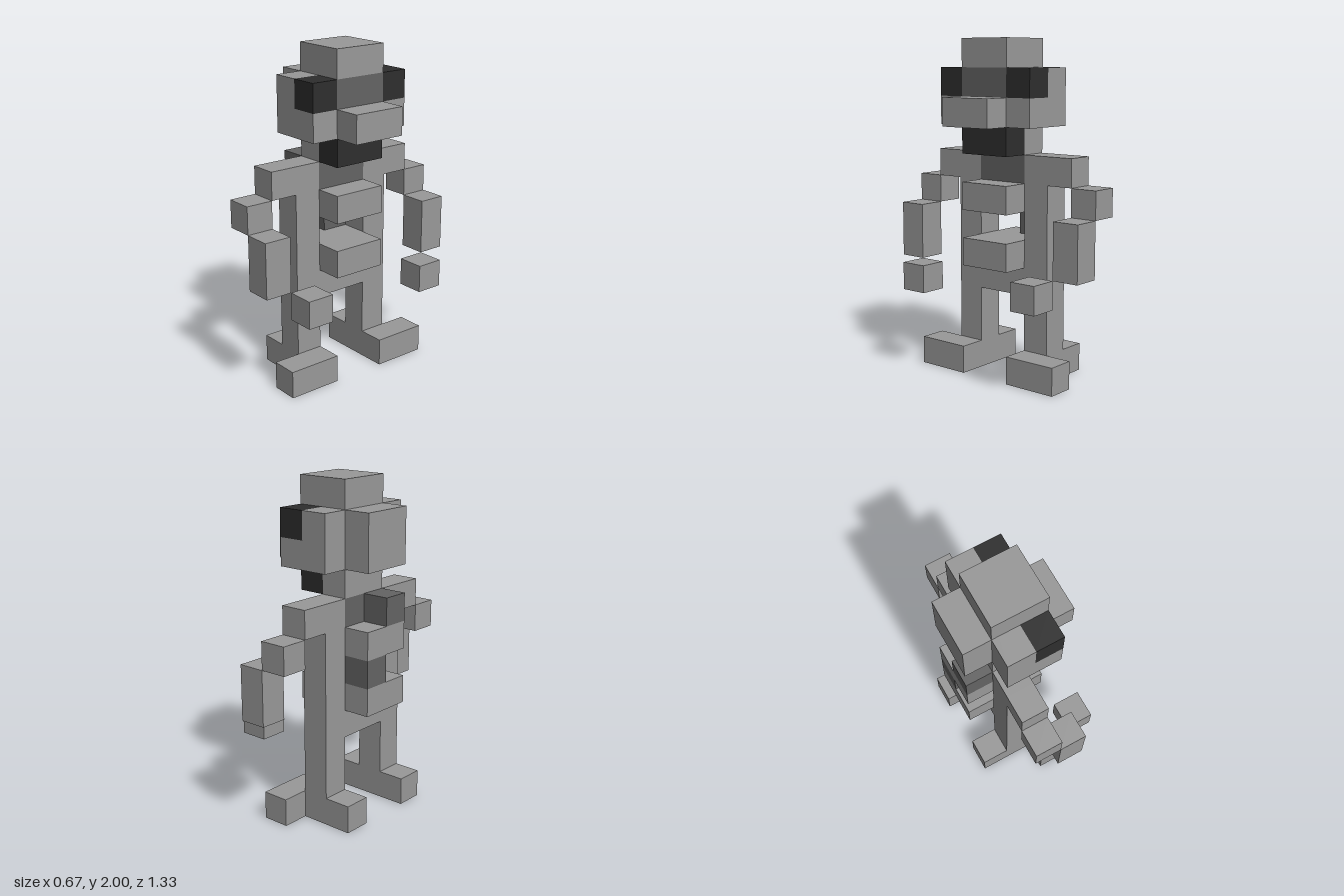
import * as THREE from 'three';

// One block is a sixth of a unit
const U = 1 / 6;

export function createModel() {
  const model = new THREE.Group();
  model.name = 'blockFigure';

  const light = new THREE.MeshStandardMaterial({ name: 'light grey', color: 0x999999 });
  const medium = new THREE.MeshStandardMaterial({ name: 'medium grey', color: 0x646464 });
  const dark = new THREE.MeshStandardMaterial({ name: 'near black', color: 0x2e2e2e });

  // Box given by its extents in blocks along x, y and z
  function block(name, material, [x0, x1], [y0, y1], [z0, z1]) {
    const geometry = new THREE.BoxGeometry((x1 - x0) * U, (y1 - y0) * U, (z1 - z0) * U);
    const mesh = new THREE.Mesh(geometry, material);
    mesh.name = name;
    mesh.position.set((x0 + x1) * U / 2, (y0 + y1) * U / 2, (z0 + z1) * U / 2);
    model.add(mesh);
  }

  // The same box on both sides of the body
  function pair(name, material, x, y, [z0, z1]) {
    block(name + 'A', material, x, y, [z0, z1]);
    block(name + 'B', material, x, y, [-z1, -z0]);
  }

  // Head
  block('crown', light, [-1, 1], [11, 12], [-1, 1]);
  block('skull', light, [-1, 0], [9, 11], [-2, 2]);
  block('backOfHead', light, [-2, -1], [9, 11], [-1, 1]);
  block('face', light, [0, 1], [9, 10], [-2, 2]);
  block('snout', light, [1, 2], [9, 10], [-1, 1]);
  block('brow', medium, [0, 1], [10, 11], [-1, 1]);
  pair('eye', dark, [0, 1], [10, 11], [1, 2]);
  block('neck', light, [-1, 0], [8, 9], [-1, 1]);
  block('mouth', dark, [0, 1], [8, 9], [-1, 1]);

  // Spine
  block('upperSpine', medium, [-1, 0], [7, 8], [-1, 1]);
  block('upperVertebra', medium, [-2, -1], [7, 8], [0, 1]);
  block('lowerVertebra', medium, [-2, -1], [5, 6], [-1, 0]);

  // Ribs run from back to front between the body sides
  for (const y of [4, 6]) block('rib' + y, light, [-2, 1], [y, y + 1], [-1, 1]);
  block('pelvis', light, [-1, 0], [3, 4], [-1, 1]);

  // Body sides and legs
  pair('sideAndLeg', light, [-1, 0], [0, 8], [1, 2]);
  pair('heel', light, [-2, -1], [0, 1], [1, 2]);
  pair('toes', light, [0, 1], [0, 1], [1, 3]);

  // Arms step outward and forward
  pair('shoulder', light, [-1, 0], [7, 8], [2, 3]);
  pair('elbow', light, [-1, 0], [6, 7], [3, 4]);
  pair('forearm', light, [0, 1], [4, 6], [3, 4]);
  pair('hand', light, [1, 2], [3, 4], [2, 3]);

  return model;
}
